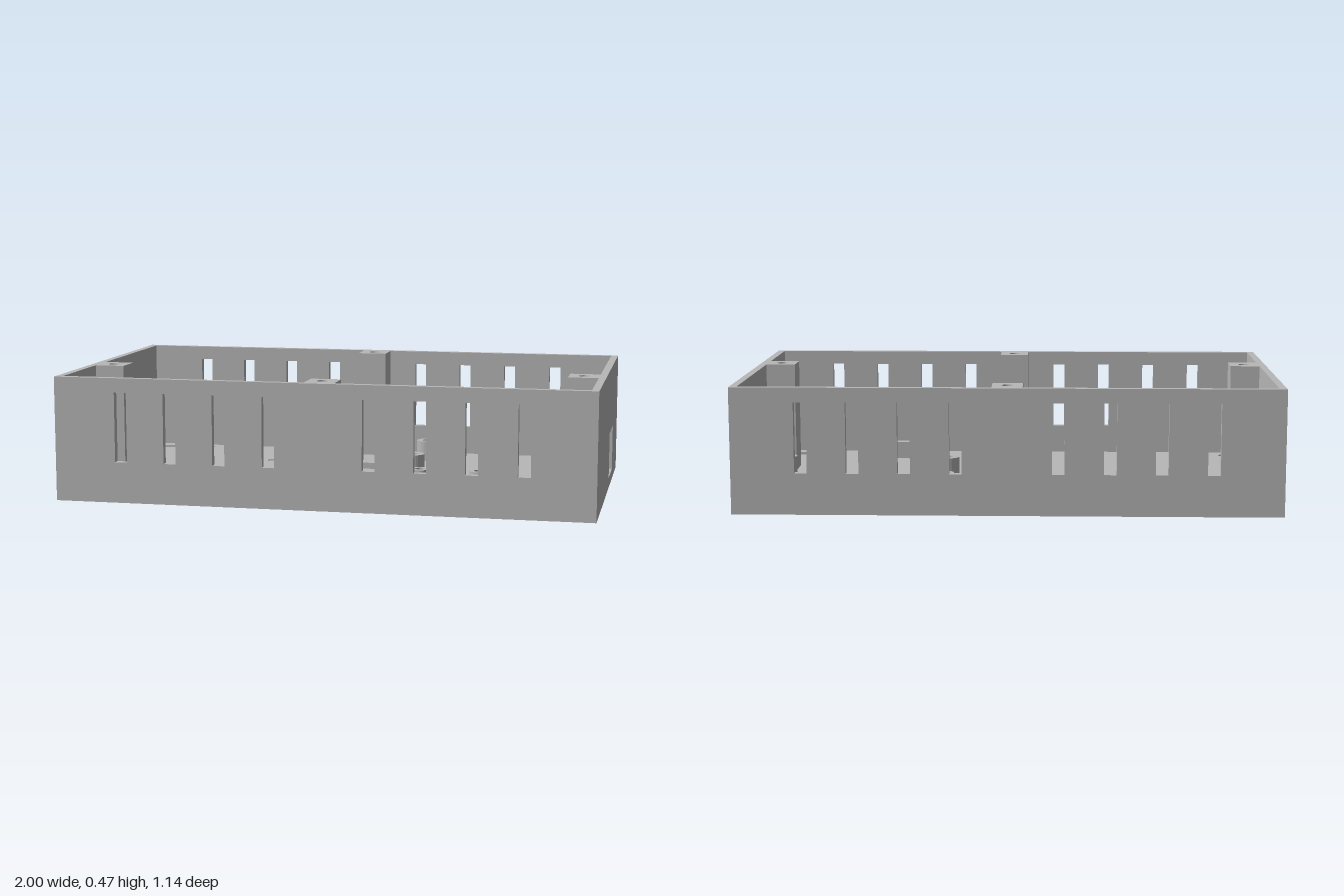
import * as THREE from 'three';

const W = 1, D = 0.57, H = 0.465, T = 0.027, FLOOR = 0.04;

// Closed rectangle centred on (x, y)
function rect(x, y, w, h, Type = THREE.Path) {
  const p = new Type();
  p.moveTo(x - w / 2, y - h / 2);
  p.lineTo(x + w / 2, y - h / 2);
  p.lineTo(x + w / 2, y + h / 2);
  p.lineTo(x - w / 2, y + h / 2);
  p.closePath();
  return p;
}

function circle(x, y, r, Type = THREE.Path) {
  return new Type().absarc(x, y, r, 0, Math.PI * 2, false);
}

// Rounded slot lying along x
function slot(x, y, w, h) {
  const r = h / 2, c = w / 2 - r;
  const p = new THREE.Path();
  p.absarc(x + c, y, r, -Math.PI / 2, Math.PI / 2, false);
  p.absarc(x - c, y, r, Math.PI / 2, Math.PI * 1.5, false);
  p.closePath();
  return p;
}

function extrude(shape, holes, depth) {
  shape.holes.push(...holes);
  return new THREE.ExtrudeGeometry(shape, { depth, bevelEnabled: false, curveSegments: 16 });
}

// Plan drawn in (x, z), raised from y0 by height
function raise(shape, holes, y0, height) {
  return extrude(shape, holes, height).rotateX(Math.PI / 2).translate(0, y0 + height, 0);
}

export function createModel() {
  const group = new THREE.Group();
  const grey = new THREE.MeshStandardMaterial({ color: 0xb8b8b8 });
  grey.name = 'grey plastic';
  const add = (name, geometry) => {
    const mesh = new THREE.Mesh(geometry, grey);
    mesh.name = name;
    group.add(mesh);
  };

  // Floor with mounting slots, cable openings and strap holes
  const floorHoles = [];
  for (const x of [-0.902, 0.902])
    for (const z of [-0.468, 0.468]) floorHoles.push(slot(x, z, 0.096, 0.053));
  for (const z of [-0.171, 0.171]) floorHoles.push(rect(0, z, 0.2, 0.134));
  for (const x of [-0.735, -0.357]) {
    floorHoles.push(rect(x, -0.492, 0.068, 0.037), rect(x, -0.222, 0.068, 0.033));
  }
  for (const x of [-0.7, -0.332]) {
    floorHoles.push(rect(x, 0.128, 0.065, 0.036), rect(x, 0.499, 0.065, 0.035));
  }
  const inW = 2 * (W - T), inD = 2 * (D - T);
  add('floor', raise(rect(0, 0, inW, inD, THREE.Shape), floorHoles, 0, FLOOR));

  // Front and back walls with ventilation slots
  for (const [name, z] of [['frontWall', D - T], ['backWall', -D]]) {
    const vents = [];
    for (const side of [-1, 1])
      for (const x of [0.185, 0.372, 0.558, 0.745])
        vents.push(rect(side * x, 0.282, 0.046, 0.26));
    add(name, extrude(rect(0, H / 2, 2 * W, H, THREE.Shape), vents, T).translate(0, 0, z));
  }

  // Side walls; the right one has a socket opening
  for (const [name, x, holes] of [
    ['socketWall', W, [rect(-0.199, 0.128, 0.203, 0.175)]],
    ['plainWall', -W + T, []],
  ]) {
    const wall = extrude(rect(0, H / 2, inD, H, THREE.Shape), holes, T);
    add(name, wall.rotateY(-Math.PI / 2).translate(x, 0, 0));
  }

  // Full-height lid screw posts: centre, size, screw hole
  const posts = [
    [0, -0.4865, 0.112, 0.113],
    [0, 0.4865, 0.112, 0.113],
    [-0.9165, 0.143, 0.113, 0.114],
    [0.9165, 0.143, 0.113, 0.114],
  ];
  for (const [x, z, w, d] of posts) {
    add('screwPost', raise(rect(x, z, w, d, THREE.Shape), [circle(x, z, 0.021)], FLOOR, H - FLOOR));
  }

  // Board standoffs
  const standoff = (name, x, z, r, h) =>
    add(name, raise(circle(x, z, r, THREE.Shape), [circle(x, z, 0.019)], FLOOR, h));
  for (const x of [0.245, 0.882])
    for (const z of [-0.369, -0.032]) standoff('boardStandoff', x, z, 0.043, 0.08);
  for (const x of [0.317, 0.54]) standoff('smallStandoff', x, 0.235, 0.038, 0.07);

  // Support bar beside the small standoffs
  add('supportBar', raise(rect(0.429, 0.393, 0.243, 0.042, THREE.Shape), [], FLOOR, 0.067));

  return group;
}
